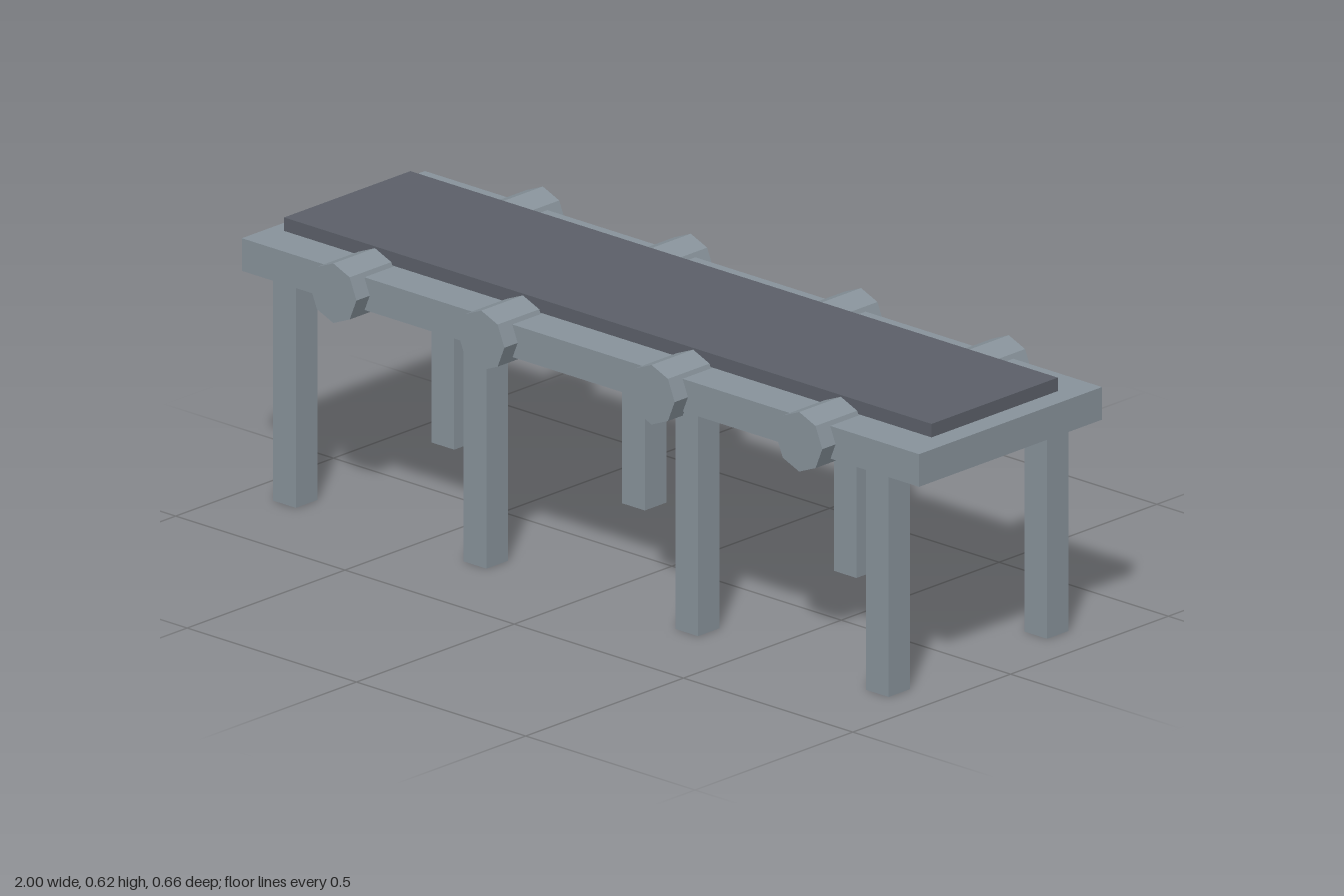
import * as THREE from 'three';

export function createModel() {
  const model = new THREE.Group();
  model.name = 'conveyorTable';

  const steel = new THREE.MeshStandardMaterial({ color: 0x87929a, flatShading: true });
  steel.name = 'grey steel';
  const rubber = new THREE.MeshStandardMaterial({ color: 0x5b5f68, flatShading: true });
  rubber.name = 'dark rubber';

  function add(name, geometry, material, x, y, z) {
    const mesh = new THREE.Mesh(geometry, material);
    mesh.name = name;
    mesh.position.set(x, y, z);
    model.add(mesh);
  }

  // Table bed and the belt lying just above it
  add('bed', new THREE.BoxGeometry(2, 0.075, 0.58), steel, 0, 0.5455, 0);
  add('belt', new THREE.BoxGeometry(1.912, 0.031, 0.4), rubber, -0.003, 0.6015, 0);

  // Octagonal rollers running across the bed, one corner pointing up
  const rollerGeometry = new THREE.CylinderGeometry(0.0685, 0.0685, 0.664, 8).rotateX(Math.PI / 2);
  for (const x of [-0.691, -0.254, 0.249, 0.685]) {
    add('roller', rollerGeometry, steel, x, 0.5445, 0);
  }

  // Four pairs of square legs
  const legGeometry = new THREE.BoxGeometry(0.067, 0.51, 0.068);
  for (const x of [-0.879, -0.316, 0.309, 0.872]) {
    for (const side of [-1, 1]) {
      add(side > 0 ? 'frontLeg' : 'backLeg', legGeometry, steel, x, 0.255, side * 0.251);
    }
  }

  return model;
}
